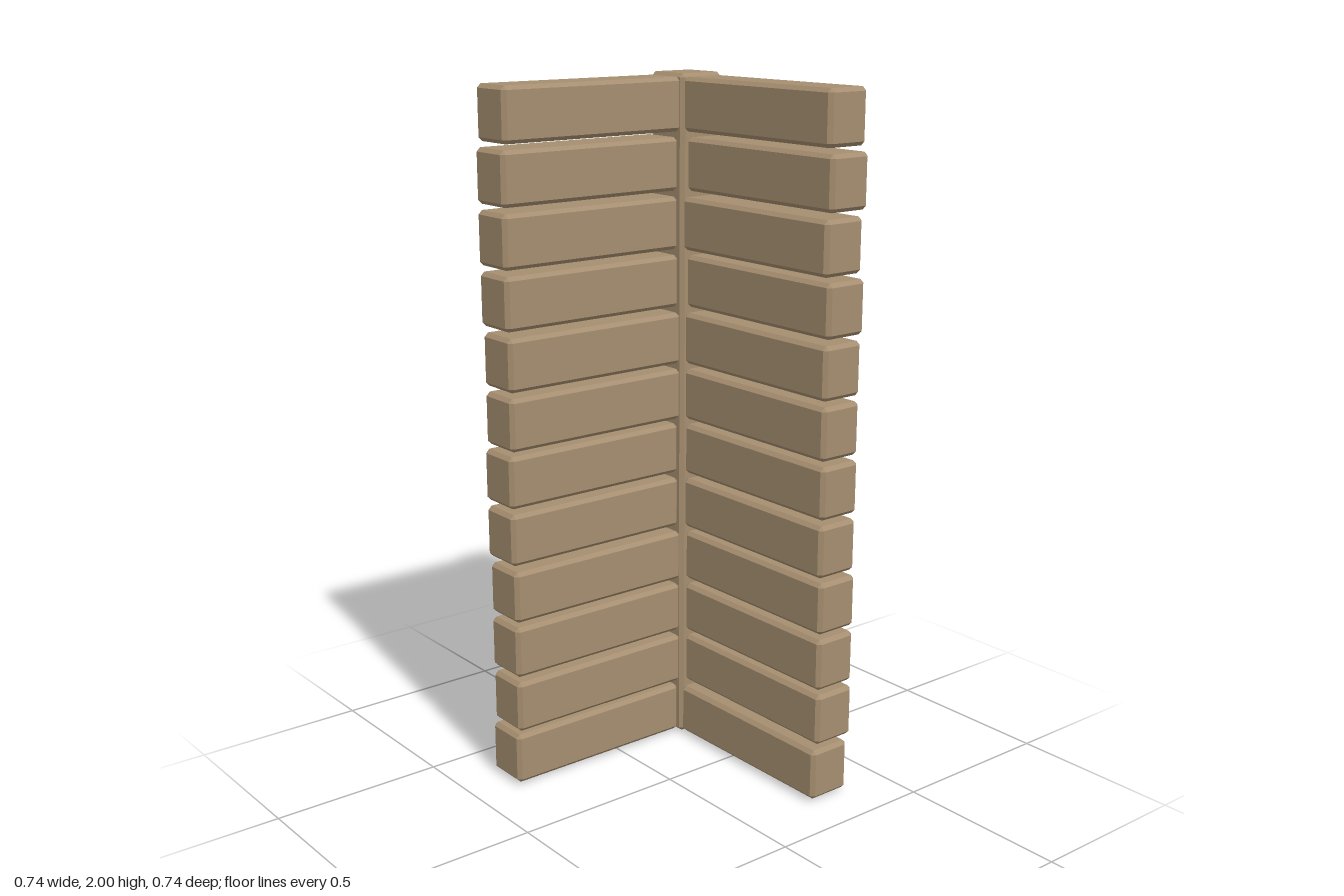
import * as THREE from 'three';
import { ConvexGeometry } from 'three/addons/geometries/ConvexGeometry.js';

const wood = new THREE.MeshStandardMaterial({ color: 0xa58e70, flatShading: true });

// Box with every edge chamfered by c
function chamferedBox(w, h, d, c) {
  const points = [];
  for (const x of [-1, 1]) for (const y of [-1, 1]) for (const z of [-1, 1]) {
    for (let flush = 0; flush < 3; flush++) {
      const half = [w / 2, h / 2, d / 2].map((s, axis) => (axis === flush ? s : s - c));
      points.push(new THREE.Vector3(x * half[0], y * half[1], z * half[2]));
    }
  }
  return new ConvexGeometry(points);
}

export function createModel() {
  const group = new THREE.Group();
  group.name = 'cornerWall';

  function add(name, geometry, x, y, z) {
    const mesh = new THREE.Mesh(geometry, wood);
    mesh.name = name;
    mesh.position.set(x, y, z);
    group.add(mesh);
  }

  // Upright post in the corner
  add('cornerPost', chamferedBox(0.146, 2, 0.146, 0.011), -0.297, 1, -0.297);

  // Two walls of stacked beams, each beam shifted slightly in or out
  const rows = 12, pitch = 2 / rows, length = 0.592, height = 0.15, thickness = 0.134;
  const middle = 0.073;
  const sideShift = [-5, 6, 4, 6, -4, -6, 5, 5, -4, -6, -6, 6];
  const backShift = [7, -6, -4, -5, 0, -2, 0, 0, -7, 7, -7, 6];
  const backBeam = chamferedBox(length, height, thickness, 0.011);
  const sideBeam = chamferedBox(thickness, height, length, 0.011);
  for (let i = 0; i < rows; i++) {
    const y = (i + 0.5) * pitch;
    add('backBeam' + (i + 1), backBeam, middle, y, -0.297 + backShift[i] / 1000);
    add('sideBeam' + (i + 1), sideBeam, -0.297 + sideShift[i] / 1000, y, middle);
  }
  return group;
}
